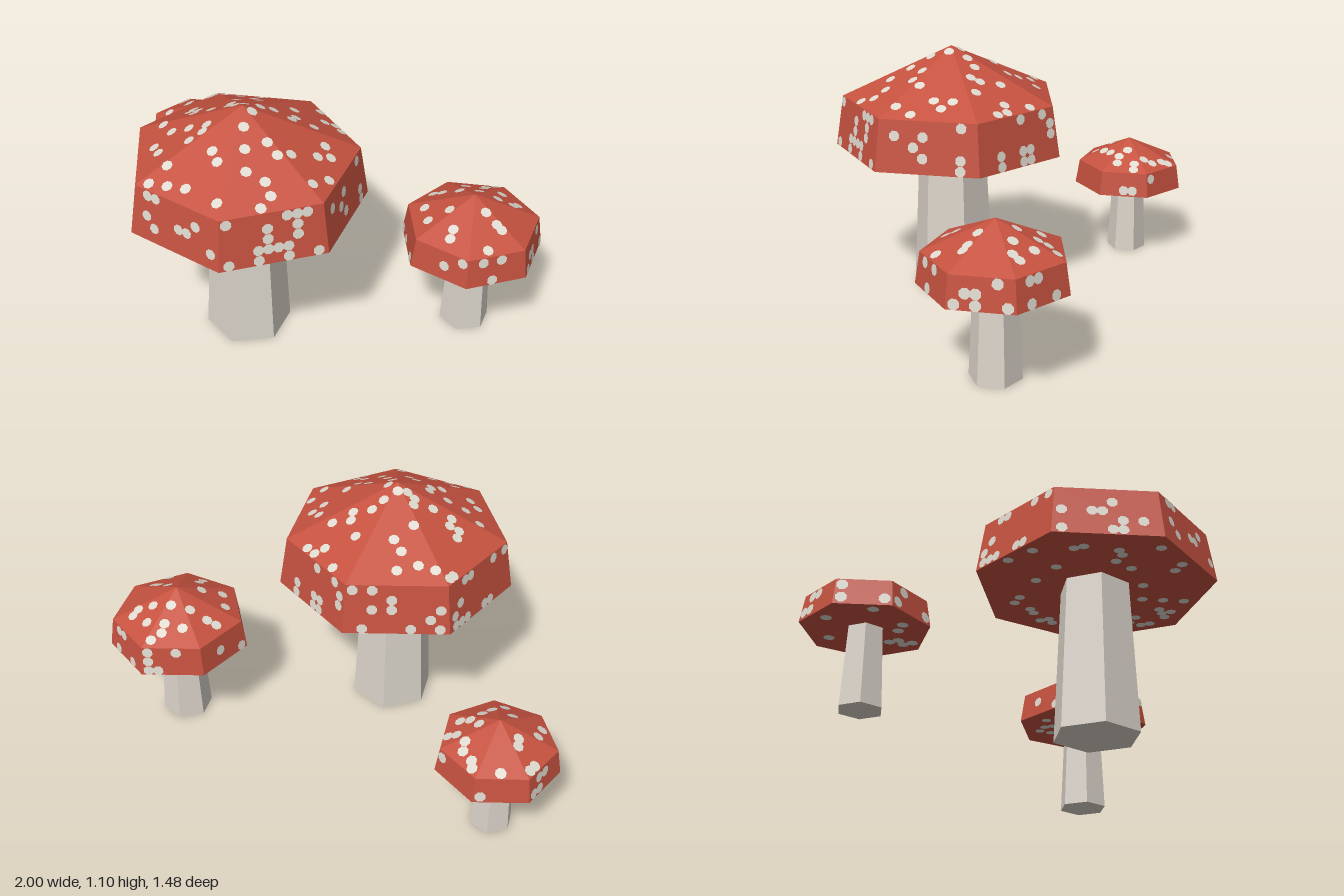
import * as THREE from 'three';
import { mergeGeometries } from 'three/addons/utils/BufferGeometryUtils.js';

const SIDES = 7, START = -Math.PI / 2, STEP = (2 * Math.PI) / SIDES;
const COS = Math.cos(STEP / 2), TAN = Math.tan(STEP / 2);
const CELL = 0.04; // spots sit on a grid of this size

// spot cells on each cap's roof, as x, z pairs counted from the cap's centre
const BIG_SPOTS = [
  -8, -10, -8, -8, -6, -8, -4, -8, -3, -4, -2, -9, -2, -7, -1, -6, 3, -6, 4, -4, 4, -3, 5, -10, 6, -7, 6, -4,
  9, -8, 9, -10, 8, -2, 9, -1, 8, 0, 6, 2, 5, 3, 4, 2, 2, -3, 1, -2, 0, -1, -1, -1, -2, -2, -2, -1, -4, -1,
  -6, -1, -7, -3, -7, -2, -6, -2, -9, 0, -7, 2, -5, 2, -3, 2, 1, 0, 1, 2, -1, 5, 0, 6, 3, 6, 5, 6, -4, 4,
  -5, 7, -7, 5, -8, 4, -3, 3, 6, 7, -6, 9, -4, 9, -2, 9, 2, 10, 6, 9, 9, 4, 10, 2, 2, 4,
];
const MEDIUM_SPOTS = [
  0, -5, 1, -6, 0, -4, 0, -2, 2, -4, -2, -4, -5, -2, -4, -2, -2, -2, 2, -2, 4, -2, 4, -3,
  -5, 1, -2, 2, 2, 1, 3, 2, 4, 2, -4, 3, -1, 4, -1, 5, 3, 5,
];
const SMALL_SPOTS = [
  -2, -2, -2, -1, 2, -5, 2, -4, 3, -3, 3, -2, 4, -1, 5, -1, 2, 0, 3, 1, 4, 1, -4, 0, -4, 2,
  -1, 2, 1, 3, 0, 4, 2, 2, -4, -3, -4, -4, -1, -5,
];

function seeded(seed) {
  return () => {
    seed = (seed * 16807) % 2147483647;
    return seed / 2147483647;
  };
}

// one flat spot facing along the normal, just clear of the surface
function spot(point, normal, along) {
  const n = normal.clone().normalize();
  const u = along.clone().addScaledVector(n, -along.dot(n)).normalize();
  const v = new THREE.Vector3().crossVectors(n, u);
  const g = new THREE.CircleGeometry(0.023, 8);
  g.rotateZ(Math.PI / 8);
  g.applyMatrix4(new THREE.Matrix4().makeBasis(u, v, n).setPosition(point.clone().addScaledVector(n, 0.003)));
  return g;
}

// position from face direction m, distance out d, sideways offset t
const onFace = (m, d, t, y) =>
  new THREE.Vector3(d * Math.sin(m) + t * Math.cos(m), y, d * Math.cos(m) - t * Math.sin(m));

function capSpots(c, roofCells, random) {
  const list = [], X = new THREE.Vector3(1, 0, 0);
  const rim = c.rimR * COS, base = c.baseR * COS;

  // roof
  const rise = c.apexY - c.rimY;
  for (let i = 0; i < roofCells.length; i += 2) {
    const x = roofCells[i] * CELL, z = roofCells[i + 1] * CELL;
    const k = Math.floor((Math.atan2(x, z) - START) / STEP);
    const m = START + (k + 0.5) * STEP;
    const d = Math.min(x * Math.sin(m) + z * Math.cos(m), rim - 0.02);
    const limit = Math.max(d * TAN - 0.022, 0);
    const t = THREE.MathUtils.clamp(x * Math.cos(m) - z * Math.sin(m), -limit, limit);
    const normal = new THREE.Vector3(Math.sin(m) * rise, rim, Math.cos(m) * rise);
    list.push(spot(onFace(m, d, t, c.apexY - (rise * d) / rim), normal, X));
  }

  // side walls
  const h = c.rimY - c.baseY, rows = Math.floor(h / CELL);
  const cols = Math.floor((2 * rim * TAN) / CELL);
  for (let k = 0; k < SIDES; k++) {
    const m = START + (k + 0.5) * STEP;
    const normal = new THREE.Vector3(Math.sin(m) * h, base - rim, Math.cos(m) * h);
    const along = new THREE.Vector3(Math.cos(m), 0, -Math.sin(m));
    for (let r = 0; r < rows; r++) for (let q = 0; q < cols; q++) {
      if (random() > 0.2) continue;
      const f = (r + 0.5) / rows;
      const p = onFace(m, base + (rim - base) * f, (q - (cols - 1) / 2) * CELL, c.baseY + h * f);
      list.push(spot(p, normal, along));
    }
  }

  // underside
  const n = Math.ceil(c.baseR / CELL), down = new THREE.Vector3(0, -1, 0);
  for (let i = -n; i <= n; i++) for (let j = -n; j <= n; j++) {
    const r = Math.hypot(i, j) * CELL;
    if (r < c.stemR + 0.02 || r > base - 0.02 || random() > 0.15) continue;
    list.push(spot(new THREE.Vector3(i * CELL, c.baseY, j * CELL), down, X));
  }
  return mergeGeometries(list);
}

export function createModel() {
  const material = (name, color) => new THREE.MeshStandardMaterial({ name, color, flatShading: true });
  const capRed = material('capRed', 0xc65240);
  const spotCream = material('spotCream', 0xdedad0);
  const stemCream = material('stemCream', 0xdbd4ca);
  const model = new THREE.Group();
  model.name = 'mushrooms';

  function mushroom(name, x, z, c, roofCells, seed) {
    const group = new THREE.Group();
    group.name = name;
    group.position.set(x, 0, z);
    const add = (part, geometry, mat) => {
      const mesh = new THREE.Mesh(geometry, mat);
      mesh.name = part;
      group.add(mesh);
    };

    // tapered six-sided stem
    const stem = new THREE.CylinderGeometry(c.stemR * 0.82, c.stemR, c.baseY, 6);
    stem.translate(0, c.baseY / 2, 0);
    add('stem', stem, stemCream);

    // seven-sided cap with a closed underside
    const profile = [[0, c.baseY], [c.baseR, c.baseY], [c.rimR, c.rimY], [0, c.apexY]];
    add('cap', new THREE.LatheGeometry(profile.map(p => new THREE.Vector2(...p)), SIDES, START), capRed);
    add('spots', capSpots(c, roofCells, seeded(seed)), spotCream);
    model.add(group);
  }

  mushroom('bigMushroom', -0.16, 0.24,
    { stemR: 0.183, baseR: 0.51, rimR: 0.475, baseY: 0.66, rimY: 0.88, apexY: 1.1 }, BIG_SPOTS, 1234);
  mushroom('mediumMushroom', 0.72, -0.13,
    { stemR: 0.108, baseR: 0.305, rimR: 0.285, baseY: 0.4, rimY: 0.53, apexY: 0.66 }, MEDIUM_SPOTS, 777);
  mushroom('smallMushroom', -0.745, -0.495,
    { stemR: 0.091, baseR: 0.255, rimR: 0.237, baseY: 0.33, rimY: 0.44, apexY: 0.55 }, SMALL_SPOTS, 4321);
  return model;
}
